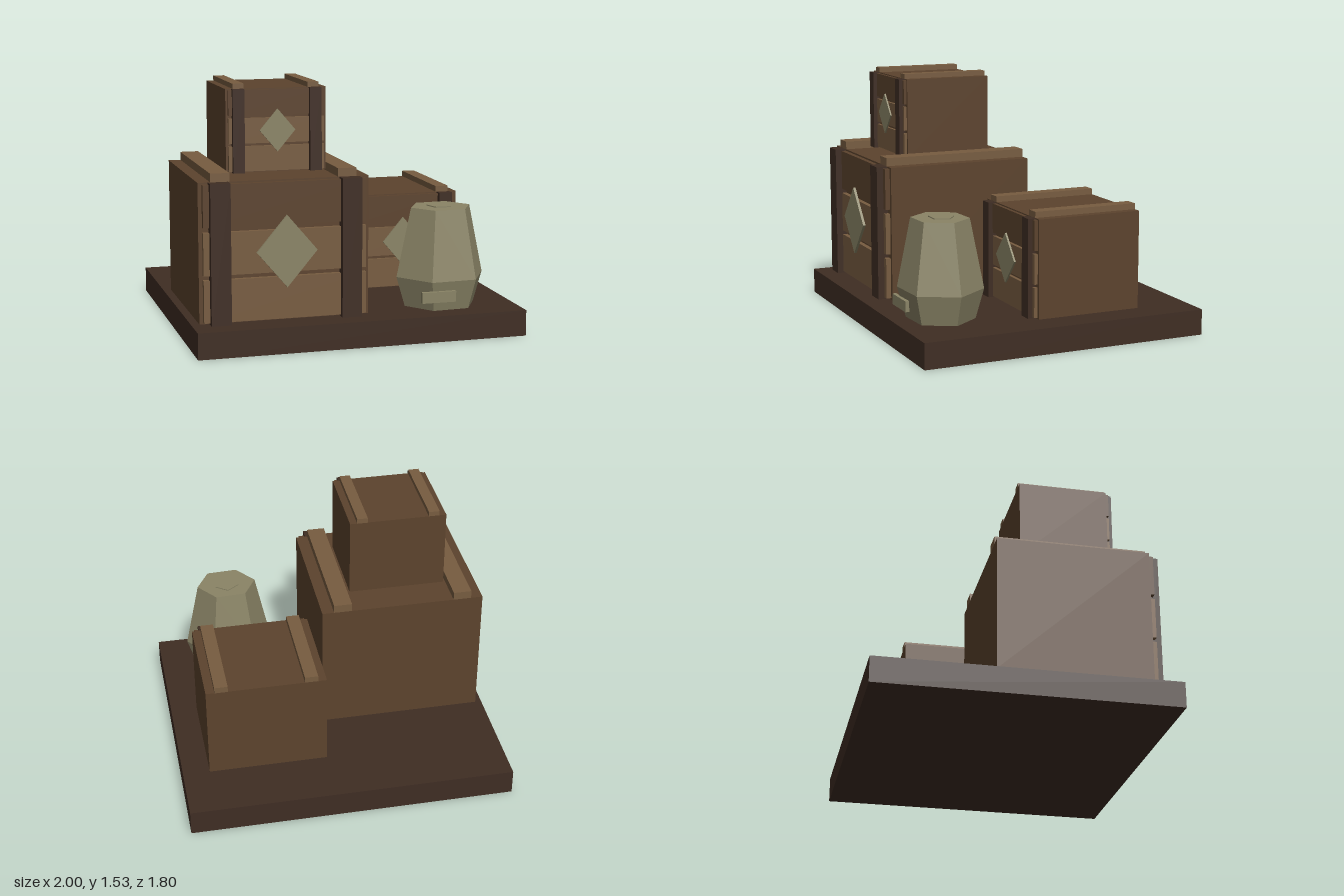
import * as THREE from 'three';

const mat = (name, color, side = THREE.FrontSide) => {
  const m = new THREE.MeshStandardMaterial({ color, side });
  m.name = name;
  return m;
};

export function createModel() {
  const darkWood = mat('darkWood', 0x3f2d23);
  const wood = mat('wood', 0x5c432d);
  const lightWood = mat('lightWood', 0x775c40);
  const stone = mat('paleStone', 0x8a8466);
  stone.flatShading = true;

  const model = new THREE.Group();
  model.name = 'crateStack';

  const add = (parent, name, geometry, material, x, y, z) => {
    const mesh = new THREE.Mesh(geometry, material);
    mesh.name = name;
    mesh.position.set(x, y, z);
    parent.add(mesh);
    return mesh;
  };
  const box = (parent, name, material, size, pos) =>
    add(parent, name, new THREE.BoxGeometry(...size), material, ...pos);

  // Floor slab
  box(model, 'base', darkWood, [2, 0.157, 1.8], [0, 0.0785, 0]);

  // One crate design, reused at three sizes; origin is the bottom centre
  const W = 1.015, H = 0.825, D = 0.915, F = D / 2;
  function crate(name, x, y, z, s) {
    const g = new THREE.Group();
    g.name = name;
    box(g, 'crateBody', wood, [W, H, D], [0, H / 2, 0]);
    // Front boards: two pale ones below a darker one
    [0.135, 0.412, 0.69].forEach((py, i) =>
      box(g, 'frontBoard', i < 2 ? lightWood : wood, [0.97, 0.25, 0.03], [0, py, F + 0.015]));
    // Front posts and lid battens
    for (const side of [-1, 1]) {
      box(g, 'frontPost', darkWood, [0.118, H, 0.068], [side * 0.39, H / 2, F + 0.036]);
      box(g, 'lidBatten', lightWood, [0.112, 0.052, D], [side * 0.378, H + 0.024, 0]);
    }
    // Diamond plate
    const plate = new THREE.CylinderGeometry(1, 1, 0.016, 4).rotateX(Math.PI / 2).scale(0.18, 0.212, 1);
    add(g, 'diamondPlate', plate, stone, 0, 0.415, F + 0.06);
    g.position.set(x, y, z);
    g.scale.setScalar(s);
    model.add(g);
  }
  crate('largeCrate', -0.45, 0.165, 0.277, 1);
  crate('topCrate', -0.45, 1.01, 0.273, 0.592);
  crate('sideCrate', 0.468, 0.165, -0.217, 0.724);

  // Six-sided jar, slightly turned
  const jar = new THREE.Group();
  jar.name = 'jar';
  const profile = [[0, 0], [0.225, 0], [0.28, 0.182], [0.19, 0.6], [0, 0.6]]
    .map(([r, y]) => new THREE.Vector2(r, y));
  const jarBody = new THREE.LatheGeometry(profile, 6, Math.PI / 2 + 0.06).scale(1, 1, 0.9);
  add(jar, 'jarBody', jarBody, stone, 0, 0, 0);
  add(jar, 'jarLid', new THREE.CylinderGeometry(0.08, 0.08, 0.012, 5, 1, false, Math.PI), stone, 0, 0.6, -0.01);
  box(jar, 'jarTag', stone, [0.212, 0.065, 0.024], [-0.083, 0.093, 0.218]);
  jar.position.set(0.548, 0.165, 0.617);
  model.add(jar);

  return model;
}
